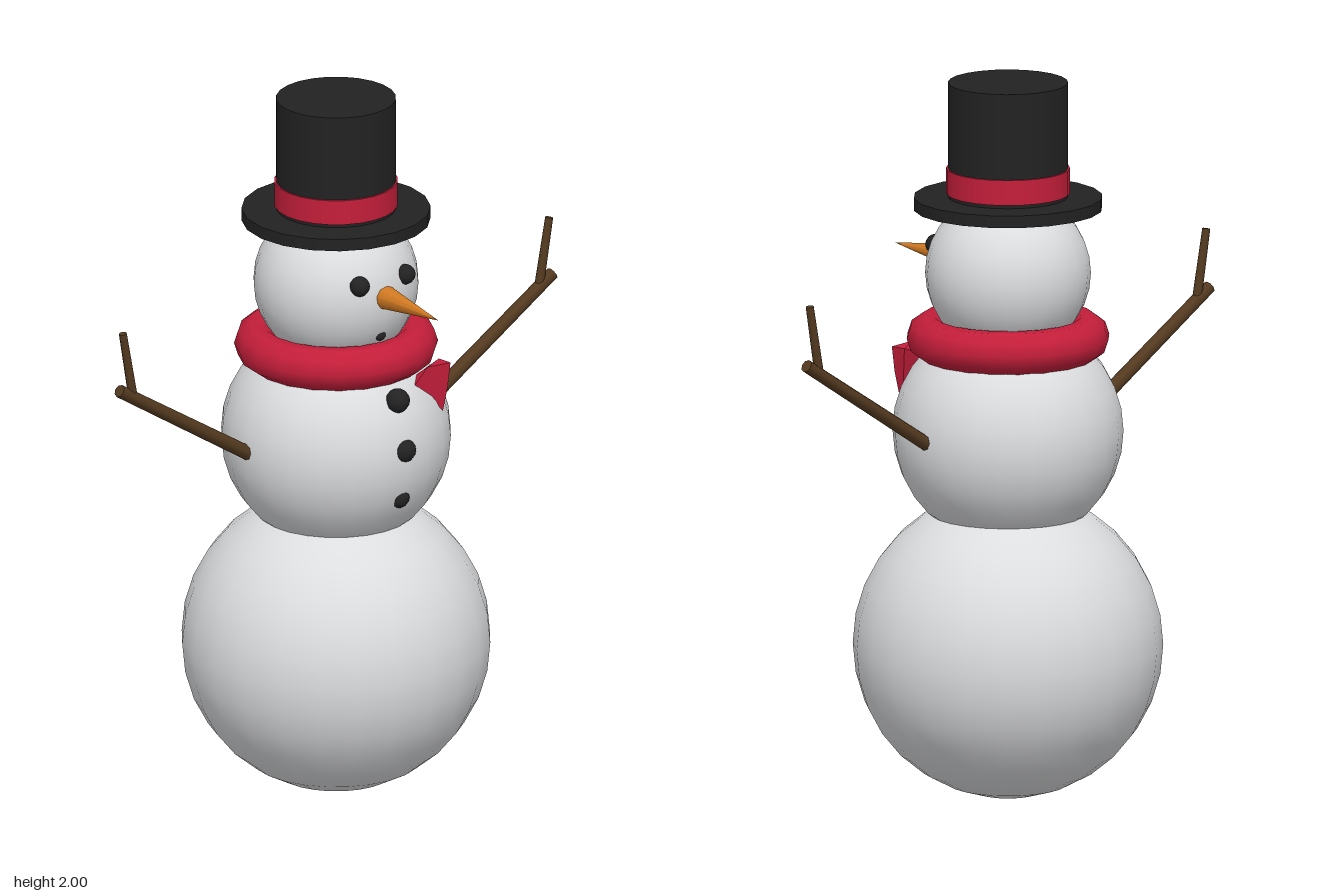
import * as THREE from 'three';
import { ConvexGeometry } from 'three/addons/geometries/ConvexGeometry.js';

const V = (x, y, z) => new THREE.Vector3(x, y, z);
const material = (name, color) => {
  const m = new THREE.MeshStandardMaterial({ color });
  m.name = name;
  return m;
};

export function createModel() {
  const snow = material('snow', 0xdcdddf);
  const coal = material('coal', 0x232323);
  const hatBlack = material('hat black', 0x222222);
  const red = material('red cloth', 0xc41e3a);
  const orange = material('carrot orange', 0xd27a22);
  const bark = material('bark', 0x543a20);

  const model = new THREE.Group();
  model.name = 'snowman';
  const Z = -0.017; // body axis

  const add = (name, geometry, mat, x = 0, y = 0, z = 0, parent = model) => {
    const mesh = new THREE.Mesh(geometry, mat);
    mesh.name = name;
    mesh.position.set(x, y, z);
    parent.add(mesh);
    return mesh;
  };

  // Straight stick between two points
  const stick = (name, a, b, r0, r1, parent) => {
    const dir = b.clone().sub(a);
    const mesh = add(name, new THREE.CylinderGeometry(r1, r0, dir.length(), 8), bark, 0, 0, 0, parent);
    mesh.position.copy(a).addScaledVector(dir, 0.5);
    mesh.quaternion.setFromUnitVectors(V(0, 1, 0), dir.normalize());
  };

  // Snowballs
  const balls = [['base', 0.426, 0.426], ['torso', 0.317, 1.025], ['head', 0.2275, 1.467]];
  for (const [name, r, y] of balls) add(name, new THREE.SphereGeometry(r, 24, 16), snow, 0, y, Z);

  // Coal pieces: name, x, y, z, radius
  const coals = [
    ['leftEye', 0.08, 1.525, 0.189, 0.028],
    ['rightEye', -0.08, 1.525, 0.189, 0.028],
    ['mouth', 0, 1.362, 0.177, 0.016],
    ['topButton', 0, 1.193, 0.256, 0.034],
    ['middleButton', 0, 1.056, 0.283, 0.034],
    ['bottomButton', 0, 0.912, 0.262, 0.029],
  ];
  for (const [name, x, y, z, r] of coals) add(name, new THREE.SphereGeometry(r, 10, 8), coal, x, y, z);

  // Carrot nose
  const nose = new THREE.ConeGeometry(0.038, 0.265, 10);
  nose.rotateX(Math.PI / 2);
  add('nose', nose, orange, 0, 1.479, 0.304);

  // Scarf ring and its hanging end
  const ring = new THREE.TorusGeometry(0.22, 0.06, 10, 20);
  ring.rotateX(Math.PI / 2);
  add('scarf', ring, red, 0, 1.287, Z);
  const tail = [
    V(0.085, 1.21, 0.225), V(0.125, 1.255, 0.23), V(0.205, 1.25, 0.23), V(0.18, 1.115, 0.228),
    V(0.195, 1.18, 0.23), V(0.11, 1.22, 0.19), V(0.2, 1.25, 0.185), V(0.18, 1.12, 0.212),
  ];
  add('scarfTail', new ConvexGeometry(tail), red);

  // Top hat
  const hat = new THREE.Group();
  hat.name = 'hat';
  model.add(hat);
  add('brim', new THREE.CylinderGeometry(0.26, 0.26, 0.034, 20), hatBlack, 0, 1.663, Z, hat);
  add('crown', new THREE.CylinderGeometry(0.165, 0.165, 0.335, 24), hatBlack, 0, 1.8325, Z, hat);
  add('hatBand', new THREE.CylinderGeometry(0.17, 0.17, 0.07, 24), red, 0, 1.725, Z, hat);

  // Stick arms, each with one twig
  for (const s of [1, -1]) {
    const arm = new THREE.Group();
    arm.name = s > 0 ? 'leftArm' : 'rightArm';
    model.add(arm);
    stick('branch', V(s * 0.29, 1.02, Z), V(s * 0.757, 1.315, Z), 0.02, 0.018, arm);
    stick('twig', V(s * 0.71, 1.29, Z), V(s * 0.745, 1.48, Z), 0.013, 0.011, arm);
  }

  return model;
}
